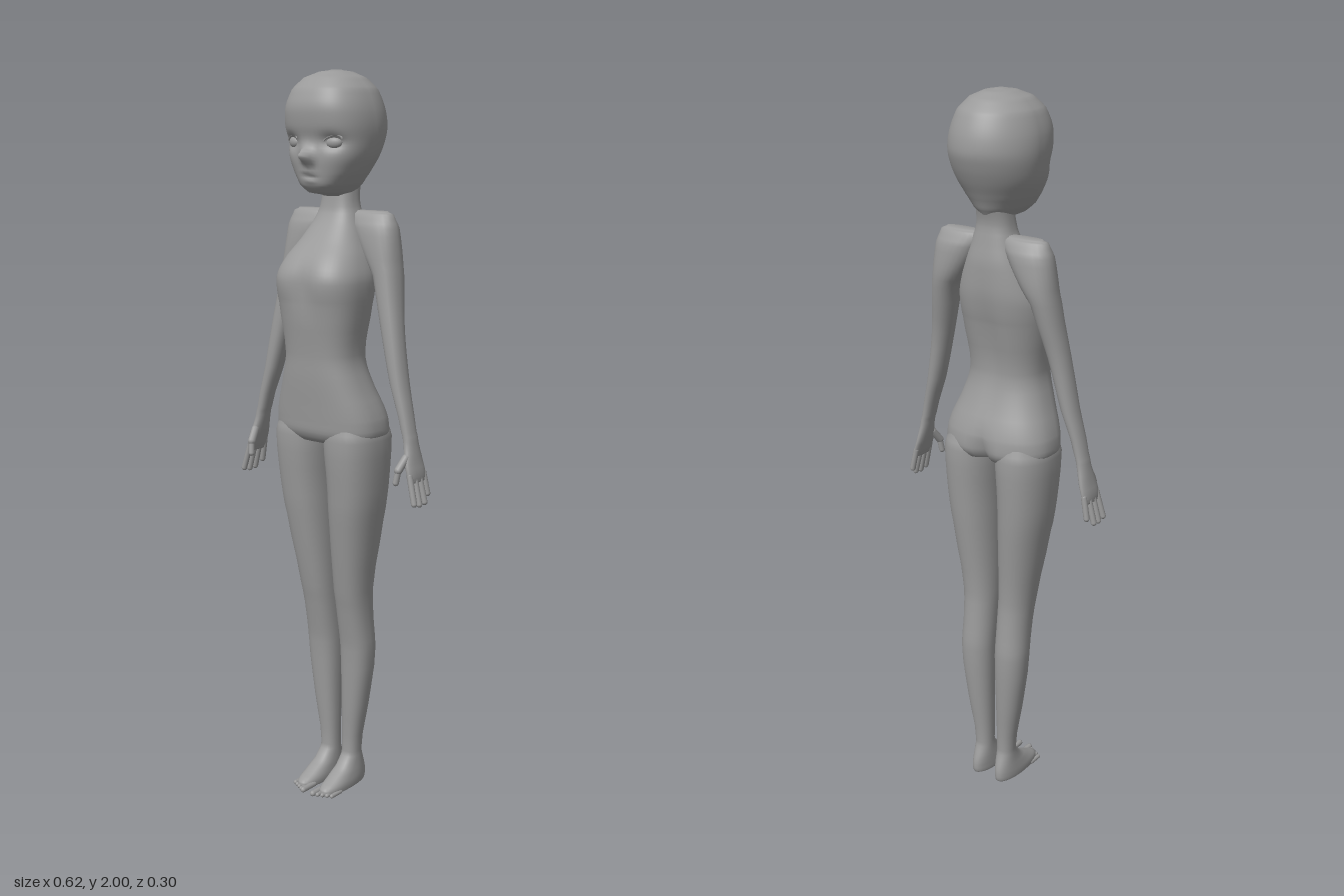
import * as THREE from 'three';

const clay = new THREE.MeshStandardMaterial({ color: 0x9a9a9a });
clay.name = 'clay grey';

// Smooth loft through horizontal sections, listed top to bottom: [y, x0, x1, zFront, zBack]
function loft(name, rows, { seg = 32, steps = 3, front = 0.85, back = 0.95, deform } = {}) {
  const sections = [];
  const cubic = (a, b, c, d, t) => { // monotone-ish cubic between b and c
    const m0 = (b - a) * (c - b) > 0 ? (c - a) / 2 : 0;
    const m1 = (c - b) * (d - c) > 0 ? (d - b) / 2 : 0;
    const t2 = t * t, t3 = t2 * t;
    const lim = 2 * (c - b), clampM = (m) => (Math.abs(m) > Math.abs(lim) ? lim : m);
    return (2 * t3 - 3 * t2 + 1) * b + (t3 - 2 * t2 + t) * clampM(m0) + (3 * t2 - 2 * t3) * c + (t3 - t2) * clampM(m1);
  };
  for (let i = 0; i < rows.length - 1; i++) {
    const a = rows[Math.max(i - 1, 0)], b = rows[i], c = rows[i + 1], d = rows[Math.min(i + 2, rows.length - 1)];
    for (let k = 0; k < steps; k++) {
      sections.push(b.map((v, n) => (n === 0 ? v + (c[0] - v) * k / steps : cubic(a[n], v, c[n], d[n], k / steps))));
    }
  }
  sections.push(rows[rows.length - 1]);

  const pos = [], idx = [], p = new THREE.Vector3();
  for (const [y, x0, x1, zf, zb] of sections) {
    for (let j = 0; j < seg; j++) {
      const t = (j / seg) * Math.PI * 2, c = Math.cos(t), s = Math.sin(t), e = s >= 0 ? front : back;
      const px = Math.sign(c) * Math.abs(c) ** e, pz = Math.sign(s) * Math.abs(s) ** e;
      p.set((x0 + x1) / 2 + px * (x1 - x0) / 2, y, (zf + zb) / 2 + pz * (zf - zb) / 2);
      if (deform) deform(p);
      pos.push(p.x, p.y, p.z);
    }
  }
  const last = (sections.length - 1) * seg, top = pos.length / 3;
  for (const [y, x0, x1, zf, zb] of [sections[0], sections[sections.length - 1]]) {
    pos.push((x0 + x1) / 2, y, (zf + zb) / 2);
  }
  for (let j = 0; j < seg; j++) {
    const n = (j + 1) % seg;
    for (let r = 0; r < last; r += seg) idx.push(r + j, r + n, r + seg + j, r + n, r + seg + n, r + seg + j);
    idx.push(top, n, j, top + 1, last + j, last + n);
  }
  const g = new THREE.BufferGeometry();
  g.setAttribute('position', new THREE.Float32BufferAttribute(pos, 3));
  g.setIndex(idx);
  g.computeVertexNormals();
  const mesh = new THREE.Mesh(g, clay);
  mesh.name = name;
  return mesh;
}

// Rows given as half widths become symmetric sections
const centred = (rows) => rows.map(([y, w, f, b]) => [y, -w, w, f, b]);
// Sections of the left side, mirrored for the right
const sided = (rows, s) => rows.map(([y, a, b, f, k]) => (s > 0 ? [y, a, b, f, k] : [y, -b, -a, f, k]));

// Round-ended finger or toe between two points
function digit(name, a, b, r) {
  const A = new THREE.Vector3(...a), B = new THREE.Vector3(...b), d = B.clone().sub(A);
  const mesh = new THREE.Mesh(new THREE.CapsuleGeometry(r, d.length(), 4, 10), clay);
  mesh.name = name;
  mesh.position.copy(A).add(B).multiplyScalar(0.5);
  mesh.quaternion.setFromUnitVectors(new THREE.Vector3(0, 1, 0), d.normalize());
  return mesh;
}

const bump = (x, y, cx, cy, w, h) => Math.exp(-(((x - cx) / w) ** 2) - ((y - cy) / h) ** 2);

export function createModel() {
  const model = new THREE.Group();
  model.name = 'figure';

  // Head with nose, eye sockets and lips shaped into the face
  model.add(loft('head', centred([
    [2.0, 0.012, 0.01, -0.02], [1.995, 0.04, 0.04, -0.055], [1.98, 0.075, 0.077, -0.09],
    [1.95, 0.105, 0.106, -0.122], [1.9, 0.123, 0.122, -0.143], [1.86, 0.127, 0.118, -0.148],
    [1.82, 0.123, 0.109, -0.138], [1.78, 0.113, 0.109, -0.12], [1.74, 0.092, 0.105, -0.098],
    [1.71, 0.07, 0.1, -0.083], [1.69, 0.048, 0.08, -0.07], [1.68, 0.03, 0.03, -0.06],
  ]), {
    seg: 72, steps: 5, front: 0.78, back: 1.05,
    deform: (p) => {
      if (p.z < 0.02) return;
      const x = Math.abs(p.x);
      p.z += 0.04 * bump(x, p.y, 0, 1.785, 0.016, 0.02);
      p.z -= 0.016 * bump(x, p.y, 0.068, 1.818, 0.028, 0.018);
      p.z += 0.005 * bump(x, p.y, 0, 1.742, 0.022, 0.007) + 0.004 * bump(x, p.y, 0, 1.722, 0.02, 0.006);
      p.z -= 0.006 * bump(x, p.y, 0, 1.732, 0.02, 0.005);
    },
  }));

  // Neck, chest, waist and pelvis
  model.add(loft('torso', centred([
    [1.73, 0.045, 0.015, -0.08], [1.67, 0.05, 0.02, -0.068], [1.635, 0.06, 0.028, -0.072],
    [1.57, 0.088, 0.075, -0.083], [1.51, 0.117, 0.13, -0.084], [1.46, 0.13, 0.149, -0.08],
    [1.4, 0.125, 0.14, -0.068], [1.27, 0.109, 0.125, -0.048], [1.2, 0.125, 0.122, -0.06],
    [1.1, 0.161, 0.114, -0.096], [1.06, 0.165, 0.11, -0.1], [1.03, 0.13, 0.09, -0.085],
    [1.015, 0.05, 0.03, -0.03],
  ]), {
    seg: 48, steps: 4, front: 0.75, back: 0.85,
    deform: (p) => {
      // Groove between the breasts, along the spine and between the buttocks
      if (p.z > 0.03) p.z -= 0.014 * bump(p.x, p.y, 0, 1.46, 0.035, 0.06);
      if (p.z < -0.02) p.z += 0.01 * bump(p.x, p.y, 0, 1.35, 0.03, 0.15) + 0.025 * bump(p.x, p.y, 0, 1.04, 0.02, 0.05);
    },
  }));

  for (const s of [1, -1]) {
    const side = s > 0 ? 'left' : 'right';

    // Leg running down into the foot
    const leg = new THREE.Group();
    leg.name = side + 'Leg';
    leg.add(loft(side + 'LegAndFoot', sided([
      [1.1, 0.02, 0.145, 0.095, -0.08], [1.04, 0.005, 0.165, 0.107, -0.098], [0.9, 0.012, 0.157, 0.095, -0.091],
      [0.8, 0.012, 0.142, 0.082, -0.083], [0.6, 0.011, 0.111, 0.05, -0.066], [0.5, 0.011, 0.106, 0.03, -0.073],
      [0.42, 0.011, 0.107, 0.017, -0.08], [0.25, 0.013, 0.087, 0.008, -0.07], [0.1, 0.013, 0.065, 0, -0.058],
      [0.06, 0.011, 0.068, 0.03, -0.07], [0.035, 0.009, 0.072, 0.075, -0.077], [0.018, 0.008, 0.074, 0.106, -0.078],
      [0.004, 0.009, 0.073, 0.108, -0.075], [0, 0.014, 0.068, 0.1, -0.068],
    ], s)));
    for (let i = 0; i < 5; i++) {
      const x = s * (0.018 + i * 0.0125), r = i ? 0.0062 : 0.0085;
      leg.add(digit('toe', [x, r, 0.075 - i * 0.004], [x, r, 0.121 - i * 0.006], r));
    }
    model.add(leg);

    // Shoulder, arm and palm
    const arm = new THREE.Group();
    arm.name = side + 'Arm';
    arm.add(loft(side + 'ArmAndPalm', sided([
      [1.643, 0.05, 0.15, -0.018, -0.048], [1.635, 0.03, 0.166, -0.006, -0.06], [1.6, 0.045, 0.18, 0.01, -0.077],
      [1.54, 0.08, 0.188, 0.016, -0.08], [1.48, 0.122, 0.196, 0.017, -0.072], [1.34, 0.161, 0.218, 0.025, -0.042],
      [1.2, 0.199, 0.243, 0.03, -0.03], [1.08, 0.24, 0.271, 0.03, -0.02], [1.045, 0.25, 0.279, 0.032, -0.021],
      [1.0, 0.262, 0.288, 0.044, -0.028], [0.965, 0.274, 0.295, 0.046, -0.03], [0.95, 0.28, 0.295, 0.04, -0.025],
    ], s), { seg: 24 }));
    // Four fingers and a thumb
    [0.89, 0.885, 0.887, 0.905].forEach((tip, i) => {
      const z = 0.038 - i * 0.02;
      arm.add(digit('finger', [s * 0.284, 0.97, z], [s * (0.304 - (i === 3 ? 0.008 : 0)), tip + 0.008, z * 1.15], 0.0082));
    });
    arm.add(digit('thumb', [s * 0.268, 1.015, 0.034], [s * 0.261, 0.985, 0.057], 0.011));
    arm.add(digit('thumbTip', [s * 0.261, 0.985, 0.057], [s * 0.257, 0.952, 0.062], 0.0085));
    model.add(arm);

    // Eyeball and upper lid set into the socket
    const eye = new THREE.Mesh(new THREE.SphereGeometry(1, 20, 14), clay);
    eye.name = side + 'Eye';
    eye.scale.set(0.022, 0.015, 0.012);
    eye.position.set(s * 0.066, 1.818, 0.083);
    eye.rotation.y = s * 0.35;
    model.add(eye);
    const lid = new THREE.Mesh(new THREE.TorusGeometry(0.027, 0.003, 6, 16, Math.PI * 0.8), clay);
    lid.name = side + 'Eyelid';
    lid.scale.y = 0.55;
    lid.position.set(s * 0.067, 1.82, 0.092);
    lid.rotation.set(0, s * 0.4, Math.PI * 0.1);
    model.add(lid);
  }

  return model;
}
